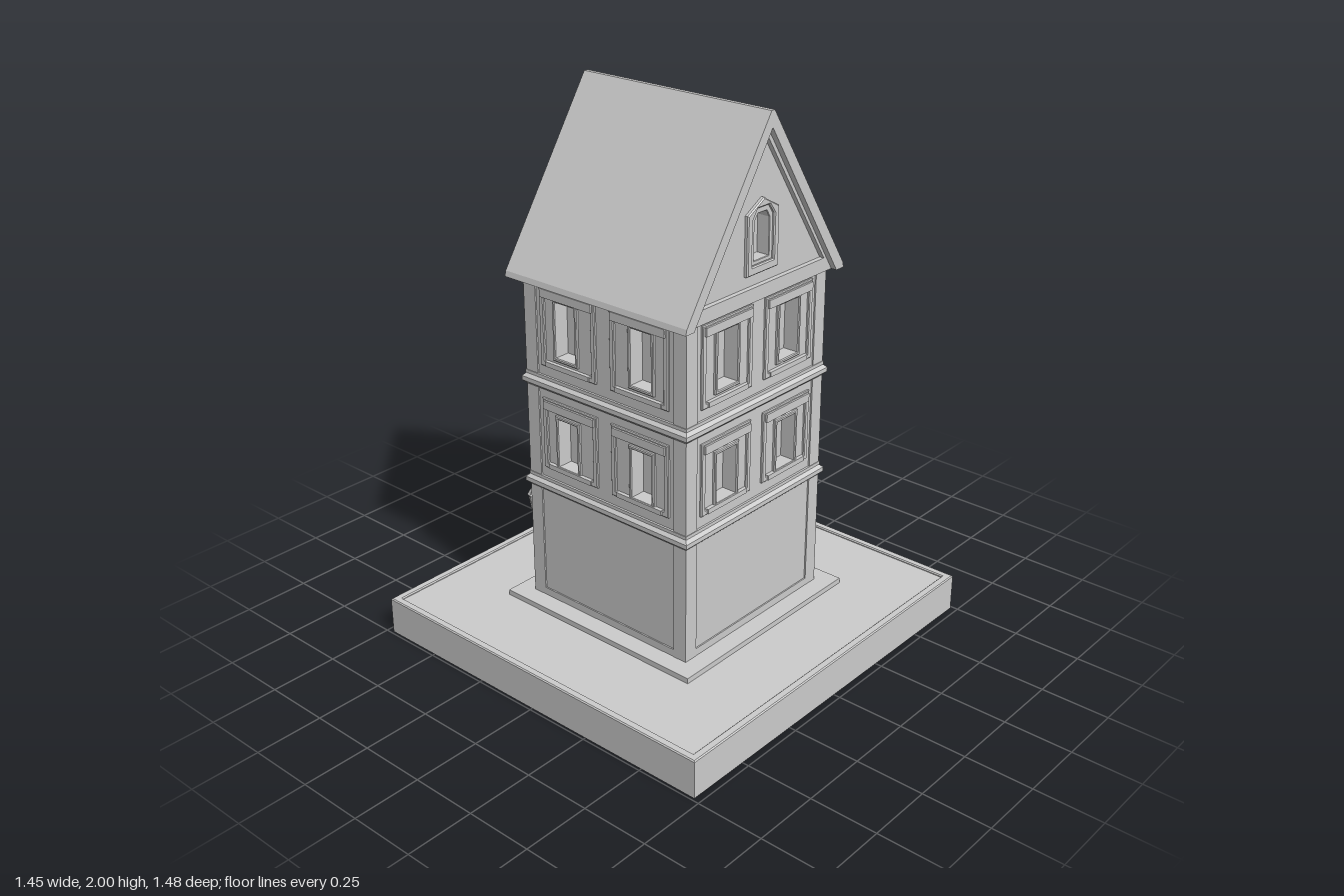
import * as THREE from 'three';

const mat = new THREE.MeshStandardMaterial({ color: 0xcccccc, flatShading: true });

function add(parent, name, geo, x = 0, y = 0, z = 0) {
  const m = new THREE.Mesh(geo, mat);
  m.name = name;
  m.position.set(x, y, z);
  parent.add(m);
  return m;
}
const box = (parent, name, w, h, d, x, y, z) =>
  add(parent, name, new THREE.BoxGeometry(w, h, d), x, y, z);

const rect = (x, y, w, h) => [[x - w / 2, y - h / 2], [x + w / 2, y - h / 2], [x + w / 2, y + h / 2], [x - w / 2, y + h / 2]];

// Extruded outline with holes, bevelled when asked
function plate(outline, holes, depth, bevel = 0) {
  const toPts = (a) => a.map(([x, y]) => new THREE.Vector2(x, y));
  const s = new THREE.Shape(toPts(outline));
  for (const h of holes) s.holes.push(new THREE.Path(toPts(h)));
  return new THREE.ExtrudeGeometry(s, {
    depth, bevelEnabled: bevel > 0, bevelSize: bevel, bevelThickness: bevel, bevelOffset: -bevel, bevelSegments: 1,
  });
}

// The same, lying flat with its underside at y
const flat = (parent, name, outline, holes, depth, y, bevel = 0) =>
  add(parent, name, plate(outline, holes, depth, bevel).rotateX(-Math.PI / 2), 0, y, 0);

const HALF = 0.357;   // wall distance from the centre
const THICK = 0.05;   // depth of the window recesses

// One window: panel frame, lintel, sill and casing around the opening
function addWindow(side, x, xOpen, { yPanel, hPanel, yOpen, hOpen }, wOpen) {
  const g = new THREE.Group();
  g.name = 'window';
  side.add(g);
  add(g, 'panelFrame', plate(rect(x, yPanel, 0.255, hPanel), [rect(x, yPanel, 0.215, hPanel - 0.04)], 0.006, 0.003), 0, 0, HALF);
  add(g, 'casing', plate(rect(xOpen, yOpen, wOpen + 0.025, hOpen + 0.025), [rect(xOpen, yOpen, wOpen, hOpen)], 0.007, 0.003), 0, 0, HALF);
  box(g, 'lintel', 0.235, 0.03, 0.022, x, yPanel + hPanel / 2 - 0.022, HALF + 0.005);
  box(g, 'sill', 0.2, 0.018, 0.018, x, yPanel - hPanel / 2 + 0.012, HALF + 0.005);
}

// Door with frame, two leaves, panels and knobs
function addDoor(side, x) {
  const g = new THREE.Group();
  g.name = 'door';
  side.add(g);
  const frame = [[-0.15, 0.15], [-0.115, 0.15], [-0.115, 0.44], [0.115, 0.44], [0.115, 0.15], [0.15, 0.15], [0.15, 0.48], [-0.15, 0.48]];
  add(g, 'doorFrame', plate(frame, [], 0.012, 0.003), x, 0, HALF - 0.002);
  for (const s of [-1, 1]) {
    const lx = x + s * 0.057;
    box(g, 'doorLeaf', 0.108, 0.28, 0.02, lx, 0.295, HALF - 0.035);
    for (const [py, ph] of [[0.225, 0.1], [0.36, 0.12]]) {
      add(g, 'doorPanel', plate(rect(lx, py, 0.08, ph), [rect(lx, py, 0.055, ph - 0.025)], 0.01), 0, 0, HALF - 0.026);
    }
    add(g, 'doorKnob', new THREE.SphereGeometry(0.009, 8, 6), x + s * 0.014, 0.288, HALF - 0.015);
  }
}

export function createModel() {
  const model = new THREE.Group();
  model.name = 'townHouse';

  // Ground slab: a thin shell, open below, with a faint rim on top
  const slab = rect(0, 0, 1.45, 1.48);
  const plinth = rect(0, 0, 0.86, 0.86);
  const plinthHole = rect(0, 0, 0.845, 0.845);
  flat(model, 'slabSides', slab, [rect(0, 0, 1.438, 1.468)], 0.132, 0);
  flat(model, 'slabTop', slab, [plinthHole], 0.008, 0.126);
  flat(model, 'slabRim', slab, [rect(0, 0, 1.39, 1.42)], 0.008, 0.129, 0.004);

  // Plinth, raised out of the slab top and hollow beneath
  flat(model, 'plinthSides', plinth, [plinthHole], 0.026, 0.127);
  flat(model, 'plinthTop', plinth, [], 0.006, 0.148);
  box(model, 'wallCore', 0.614, 1.235, 0.614, 0, 0.7695, 0);

  // Four sides of the house
  const storeys = [
    { yPanel: 0.815, hPanel: 0.265, yOpen: 0.795, hOpen: 0.18 },
    { yPanel: 1.215, hPanel: 0.29, yOpen: 1.215, hOpen: 0.2 },
  ];
  ['frontSide', 'leftSide', 'backSide', 'rightSide'].forEach((name, k) => {
    const side = new THREE.Group();
    side.name = name;
    side.rotation.y = k * Math.PI / 2;
    model.add(side);
    const wOpen = k % 2 ? 0.1 : 0.088;
    const xOpen = k % 2 ? 0.16 : 0.17;
    const holes = [];
    for (const s of storeys) for (const m of [-1, 1]) {
      holes.push(rect(m * xOpen, s.yOpen, wOpen, s.hOpen));
      addWindow(side, m * 0.16, m * xOpen, s, wOpen);
    }
    if (name === 'rightSide') {
      holes.push(rect(0, 0.297, 0.23, 0.286));
      addDoor(side, 0);
    } else {
      box(side, 'footBoard', 0.716, 0.03, 0.01, 0, 0.167, HALF);
    }
    add(side, 'wall', plate(rect(0, 0.77, HALF * 2, 1.236), holes, THICK), 0, 0, HALF - THICK);
  });

  // Corner posts and storey bands
  for (const sx of [-1, 1]) for (const sz of [-1, 1]) {
    box(model, 'cornerPost', 0.055, 1.23, 0.055, sx * 0.335, 0.767, sz * 0.335);
  }
  for (const y of [0.61, 1.0]) {
    flat(model, 'storeyBand', rect(0, 0, 0.75, 0.75), [], 0.016, y - 0.008, 0.012);
    box(model, 'bandLedge', 0.73, 0.012, 0.73, 0, y + 0.026, 0);
  }

  // Roof: folded slab running along x
  const roofShape = [[-0.41, 1.375], [-0.37, 1.375], [0, 1.945], [0.37, 1.375], [0.41, 1.375], [0.405, 1.395], [0.008, 2], [-0.008, 2], [-0.405, 1.395]];
  add(model, 'roof', plate(roofShape, [], 0.8).translate(0, 0, -0.4).rotateY(Math.PI / 2));
  box(model, 'eavesFloor', 0.72, 0.03, 0.76, 0, 1.39, 0);

  // Gable ends with attic windows
  const opening = [[-0.038, 1.51], [0.038, 1.51], [0.038, 1.64], [0.022, 1.665], [-0.022, 1.665], [-0.038, 1.64]];
  const casing = [[-0.055, 1.495], [0.055, 1.495], [0.055, 1.65], [0.03, 1.685], [-0.03, 1.685], [-0.055, 1.65]];
  const surround = [[-0.08, 1.465], [0.08, 1.465], [0.08, 1.67], [0, 1.715], [-0.08, 1.67]];
  const triangle = [[-0.385, 1.375], [0.385, 1.375], [0, 1.965]];
  const inner = [[-0.325, 1.425], [0.325, 1.425], [0, 1.92]];
  for (const s of [-1, 1]) {
    const gable = new THREE.Group();
    gable.name = s > 0 ? 'leftGable' : 'rightGable';
    gable.rotation.y = s * Math.PI / 2;
    model.add(gable);
    add(gable, 'gableWall', plate(triangle, [opening], THICK), 0, 0, 0.31);
    add(gable, 'bargeBoards', plate(triangle, [inner], 0.018), 0, 0, 0.36);
    add(gable, 'atticSurround', plate(surround, [casing], 0.01, 0.004), 0, 0, 0.36);
    add(gable, 'atticCasing', plate(casing, [opening], 0.004, 0.002), 0, 0, 0.36);
    box(gable, 'atticPane', 0.12, 0.2, 0.01, 0, 1.59, 0.312);
  }

  // Lantern hanging from a curved bracket beside the door
  const lantern = new THREE.Group();
  lantern.name = 'lantern';
  lantern.position.set(-0.403, 0, 0.305);
  model.add(lantern);
  const arm = new THREE.CatmullRomCurve3([[0.05, 0.6], [0.03, 0.59], [0.012, 0.57], [0, 0.535]].map(([x, y]) => new THREE.Vector3(x, y, 0)));
  add(lantern, 'lanternArm', new THREE.TubeGeometry(arm, 10, 0.007, 6));
  const profile = [[0, 0.44], [0.014, 0.44], [0.018, 0.455], [0.026, 0.505], [0.03, 0.51], [0.012, 0.54], [0, 0.55]];
  add(lantern, 'lanternBody', new THREE.LatheGeometry(profile.map(([x, y]) => new THREE.Vector2(x, y)), 8));

  return model;
}
